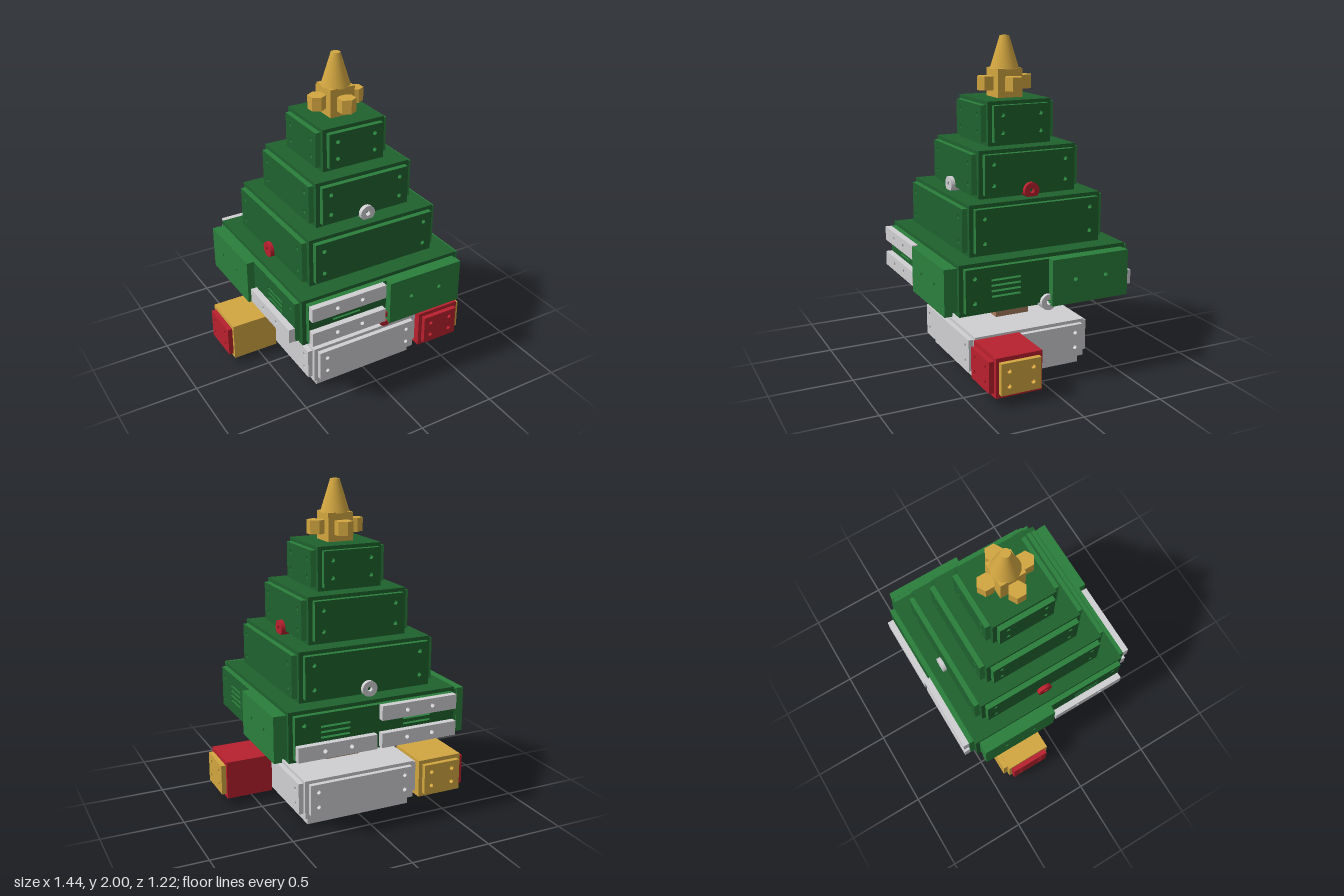
import * as THREE from 'three';

const flat = (name, color) => Object.assign(new THREE.MeshStandardMaterial({ color }), { name });

export function createModel() {
  const darkGreen = flat('dark green', 0x1f622e);
  const leafGreen = flat('leaf green', 0x2a7f3c);
  const white = flat('white', 0xd0d0d3);
  const red = flat('red', 0xb8202e);
  const gold = flat('gold', 0xd2a640);
  const brown = flat('brown', 0xa67c5b);

  const model = new THREE.Group();
  model.name = 'blockTree';

  const add = (parent, name, geometry, material, x = 0, y = 0, z = 0) => {
    const mesh = new THREE.Mesh(geometry, material);
    mesh.name = name;
    mesh.position.set(x, y, z);
    parent.add(mesh);
    return mesh;
  };

  // Box given by its lower and upper corners
  const block = (parent, name, material, a, b) => add(parent, name,
    new THREE.BoxGeometry(b[0] - a[0], b[1] - a[1], b[2] - a[2]), material,
    (a[0] + b[0]) / 2, (a[1] + b[1]) / 2, (a[2] + b[2]) / 2);

  // Thin plate facing +z, with round screw holes and optional vent slots
  const plate = (parent, name, material, x0, x1, y0, y1, z0, z1, holes, slots = []) => {
    const shape = new THREE.Shape();
    shape.moveTo(x0, y0).lineTo(x1, y0).lineTo(x1, y1).lineTo(x0, y1).closePath();
    for (const [x, y] of holes) {
      const hole = new THREE.Path();
      hole.absarc(x, y, 0.013, 0, Math.PI * 2, true);
      shape.holes.push(hole);
    }
    for (const [x, y] of slots) {
      const slot = new THREE.Path();
      slot.moveTo(x - 0.09, y - 0.006).lineTo(x - 0.09, y + 0.006)
        .lineTo(x + 0.09, y + 0.006).lineTo(x + 0.09, y - 0.006).closePath();
      shape.holes.push(slot);
    }
    const geometry = new THREE.ExtrudeGeometry(shape, { depth: z1 - z0, bevelEnabled: false, curveSegments: 6 });
    return add(parent, name, geometry, material, 0, 0, z0);
  };

  const corners = (x0, x1, y0, y1, inset = 0.05) =>
    [x0 + inset, x1 - inset].flatMap(x => [[x, y0 + inset], [x, y1 - inset]]);

  // Group turned in quarter turns: 0 front, 1 left (+x), 2 back, 3 right (-x)
  const side = (name, turn) => {
    const group = new THREE.Group();
    group.name = name;
    group.rotation.y = turn * Math.PI / 2;
    model.add(group);
    return group;
  };

  // White base with a panel on each side and underneath
  block(model, 'baseBody', white, [-0.365, 0.05, -0.365], [0.365, 0.29, 0.365]);
  block(model, 'baseFoot', white, [-0.34, 0, -0.34], [0.34, 0.05, 0.34]);
  for (let k = 0; k < 4; k++) {
    plate(side('baseSide', k), 'basePanel', white, -0.34, 0.34, 0.075, 0.27, 0.365, 0.395,
      corners(-0.34, 0.34, 0.075, 0.27));
  }

  // Trunk
  block(model, 'trunk', brown, [-0.112, 0.29, -0.112], [0.112, 0.5, 0.112]);

  // Two presents, one the half-turned copy of the other with swapped colours
  for (const [turn, main, end] of [[0, red, gold], [2, gold, red]]) {
    const present = side('present', turn);
    block(present, 'presentBox', main, [0.395, 0.05, 0.095], [0.69, 0.29, 0.385]);
    plate(present, 'presentFrontPanel', main, 0.42, 0.665, 0.075, 0.265, 0.385, 0.415,
      corners(0.42, 0.665, 0.075, 0.265));
    const endGroup = new THREE.Group();
    endGroup.name = 'presentEnd';
    endGroup.rotation.y = Math.PI / 2;
    present.add(endGroup);
    plate(endGroup, 'presentEndPanel', end, -0.365, -0.115, 0.075, 0.265, 0.69, 0.72,
      corners(-0.365, -0.115, 0.075, 0.265));
  }

  // Four green tiers: half width, bottom, top
  const tiers = [[0.533, 0.5, 0.8], [0.42, 0.8, 1.1], [0.312, 1.1, 1.38], [0.204, 1.38, 1.64]];
  const ventRows = [0.605, 0.637, 0.669, 0.701];
  const vents = [[-0.26], [-0.26], [-0.26, 0.26], [0.26]];
  tiers.forEach(([half, y0, y1], i) => {
    block(model, 'tierBody', darkGreen, [-half, y0, -half], [half, y1, half]);
    const w = half - 0.026, low = y0 + 0.024, high = y1 - 0.022;
    for (let k = 0; k < 4; k++) {
      const slots = i === 0 ? vents[k].flatMap(x => ventRows.map(y => [x, y])) : [];
      plate(side('tierSide', k), 'tierPanel', [darkGreen, leafGreen], -w, w, low, high, half, half + 0.032,
        corners(-w, w, low, high, 0.055), slots);
    }
  });

  // Leaf green boards on the lowest tier: quarter turn, side of the face
  for (const [k, s] of [[0, 1], [1, 1], [3, -1]]) {
    const x0 = s > 0 ? 0.01 : -0.51;
    plate(side('boardSide', k), 'board', leafGreen, x0, x0 + 0.5, 0.505, 0.78, 0.565, 0.612,
      [[s * 0.16, 0.65], [s * 0.36, 0.65]]);
  }

  // White slats on the lowest tier: quarter turn, side of the face, bottom
  for (const [k, s, y] of [[0, -1, 0.525], [0, -1, 0.69], [2, 1, 0.525], [2, 1, 0.69], [2, -1, 0.525], [3, 1, 0.525]]) {
    const x0 = s > 0 ? 0.015 : -0.505;
    plate(side('slatSide', k), 'slat', white, x0, x0 + 0.49, y, y + 0.088, 0.565, 0.604,
      [[x0 + 0.163, y + 0.044], [x0 + 0.328, y + 0.044]]);
  }

  // Ring ornaments: quarter turn, height, outer distance, colour
  const ring = new THREE.Shape();
  ring.absarc(0, 0, 0.047, 0, Math.PI * 2, false);
  const bore = new THREE.Path();
  bore.absarc(0, 0, 0.015, 0, Math.PI * 2, true);
  ring.holes.push(bore);
  const ringGeometry = new THREE.ExtrudeGeometry(ring, { depth: 0.055, bevelEnabled: false, curveSegments: 16 });
  for (const [k, y, d, material] of [[0, 1.135, 0.37, white], [1, 1.135, 0.37, red],
    [2, 0.845, 0.477, white], [3, 0.845, 0.477, red], [0, 0.525, 0.588, red], [1, 0.525, 0.588, white]]) {
    add(side('ornamentSide', k), 'ornament', ringGeometry, material, 0, y, d - 0.055);
  }

  // Gold topper: block, four six-sided studs and a cone with a dimpled tip
  block(model, 'topperBlock', gold, [-0.08, 1.64, -0.08], [0.08, 1.81, 0.08]);
  const stud = new THREE.CylinderGeometry(0.055, 0.055, 0.082, 6).toNonIndexed();
  stud.computeVertexNormals();
  for (const [x, z] of [[1, 0], [-1, 0], [0, 1], [0, -1]]) {
    add(model, 'topperStud', stud, gold, x * 0.124, 1.725, z * 0.124);
  }
  add(model, 'topperCone', new THREE.CylinderGeometry(0.028, 0.088, 0.195, 24), gold, 0, 1.9025, 0);

  return model;
}
